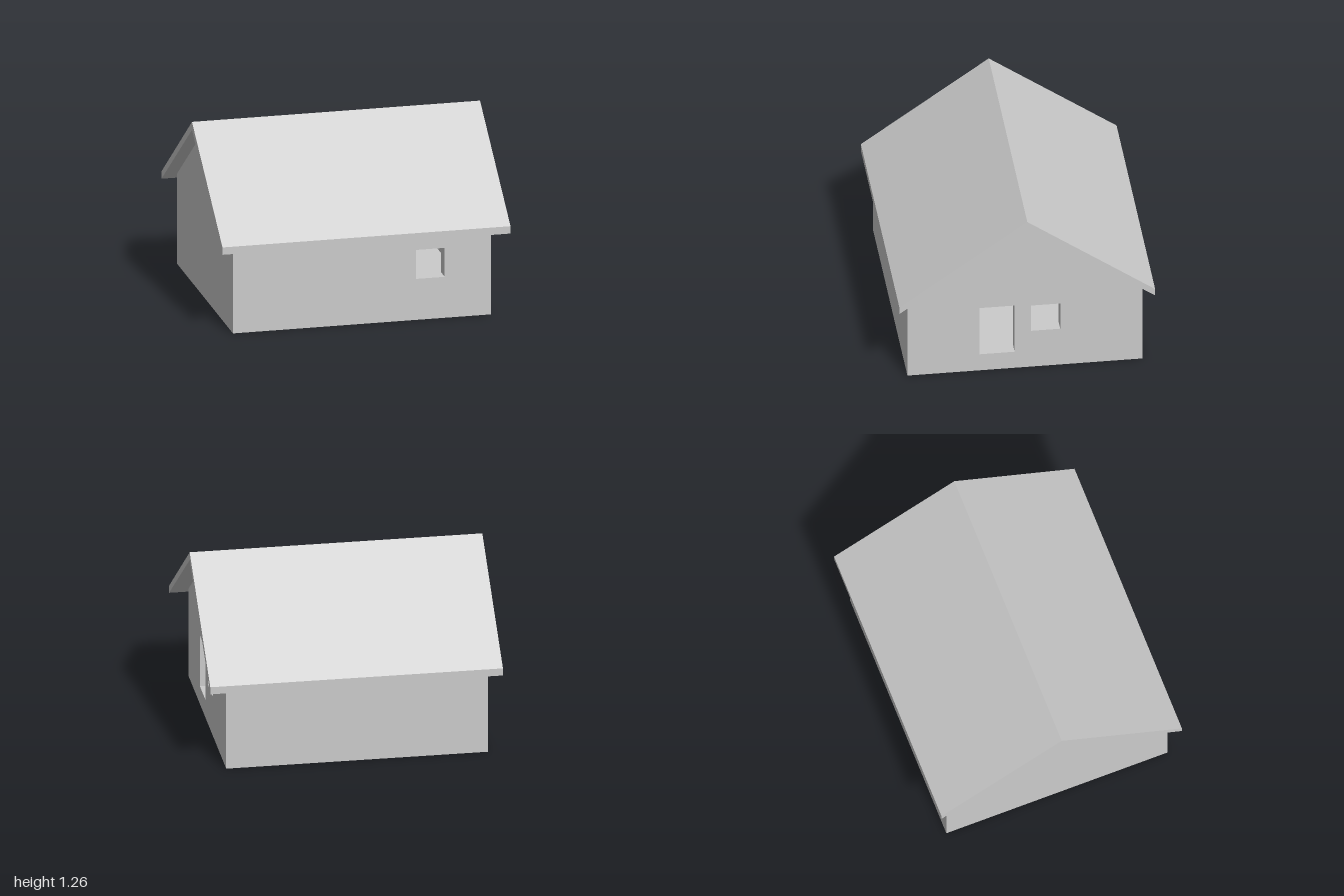
import * as THREE from 'three';

const X0 = -0.91, X1 = 0.88, HALF_Z = 0.8, EAVE = 0.634, RIDGE = 1.2, WALL = 0.1, FLOOR = 0.13;
const material = new THREE.MeshStandardMaterial({ color: 0xcccccc, flatShading: true });

const outline = (points) => new THREE.Shape(points.map(([x, y]) => new THREE.Vector2(x, y)));

// Rectangular opening through a wall
function opening(x0, x1, y0, y1) {
  const path = new THREE.Path();
  path.moveTo(x0, y0).lineTo(x0, y1).lineTo(x1, y1).lineTo(x1, y0).closePath();
  return path;
}

export function createModel() {
  const house = new THREE.Group();
  house.name = 'house';

  function add(name, geometry) {
    const mesh = new THREE.Mesh(geometry, material);
    mesh.name = name;
    house.add(mesh);
    return mesh;
  }
  const extrude = (shape, depth) => new THREE.ExtrudeGeometry(shape, { depth, bevelEnabled: false });
  // Extrusion along +x from xStart; shape x becomes -z
  function addAlongX(name, shape, xStart, depth) {
    const geometry = extrude(shape, depth).rotateY(Math.PI / 2).translate(xStart, 0, 0);
    return add(name, geometry);
  }

  // Gable walls, the left one with a door and a window
  const gable = (holes) => {
    const shape = outline([[-HALF_Z, 0], [HALF_Z, 0], [HALF_Z, EAVE], [0, RIDGE], [-HALF_Z, EAVE]]);
    shape.holes.push(...holes);
    return shape;
  };
  const door = opening(-0.31, -0.07, FLOOR, 0.505);
  const sideWindow = opening(0.04, 0.24, 0.29, 0.495);
  addAlongX('leftGableWall', gable([door, sideWindow]), X1 - WALL, WALL);
  addAlongX('rightGableWall', gable([]), X0, WALL);

  // Long walls between the gables, the front one with a window
  const longWall = (holes) => {
    const a = X0 + WALL, b = X1 - WALL;
    const shape = outline([[a, 0], [b, 0], [b, EAVE], [a, EAVE]]);
    shape.holes.push(...holes);
    return extrude(shape, WALL);
  };
  add('frontWall', longWall([opening(0.36, 0.56, 0.29, 0.495)])).position.z = HALF_Z - WALL;
  add('backWall', longWall([])).position.z = -HALF_Z;

  // Floor slab inside the walls
  const floor = new THREE.BoxGeometry(X1 - X0 - 2 * WALL, FLOOR, 2 * (HALF_Z - WALL));
  add('floor', floor).position.set((X0 + X1) / 2, FLOOR / 2, 0);

  // Pitched roof with overhanging eaves
  const roof = outline([
    [-0.87, 0.585], [0, RIDGE], [0.87, 0.585],
    [0.87, 0.637], [0, 1.257], [-0.87, 0.637],
  ]);
  addAlongX('roof', roof, -1, 2);

  return house;
}
